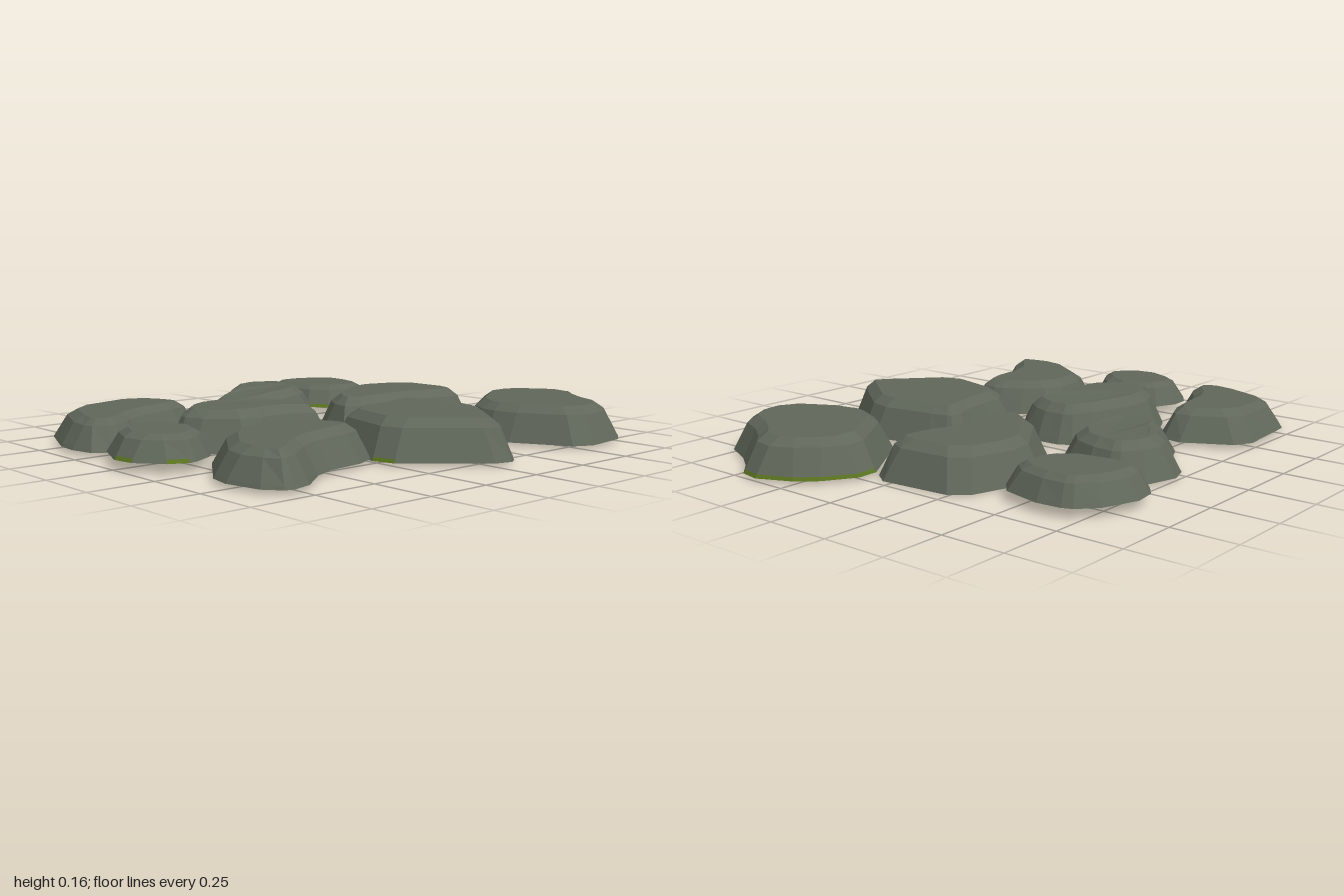
import * as THREE from 'three';

const stoneMat = new THREE.MeshStandardMaterial({ color: 0x60675a });
stoneMat.name = 'mossy grey stone';
const mossMat = new THREE.MeshStandardMaterial({ color: 0x5a7320 });
mossMat.name = 'moss green';

// Unit direction and length from corner a to corner b
function edge(a, b) {
  const dx = b[0] - a[0], dz = b[1] - a[1], len = Math.hypot(dx, dz);
  return { x: dx / len, z: dz / len, len };
}

// Shrink a footprint by a constant distance on every side
function inset(corners, d) {
  const n = corners.length;
  return corners.map((p, i) => {
    const e = edge(corners[(i + n - 1) % n], p), f = edge(p, corners[(i + 1) % n]);
    const k = d / (1 + e.x * f.x + e.z * f.z);
    return [p[0] - (e.z + f.z) * k, p[1] + (e.x + f.x) * k];
  });
}

// Replace every corner by a short blunt edge
function bluntCorners(corners) {
  const n = corners.length;
  return corners.flatMap((p, i) => [n - 1, 1].map(step => {
    const e = edge(p, corners[(i + step) % n]);
    const cut = Math.min(0.05, e.len * 0.35);
    return [p[0] + e.x * cut, p[1] + e.z * cut];
  }));
}

// Corners are [x, z], clockwise from above. Past fold[0] in z the top dips
// by the slope fold[1]. Moss lists the overgrown base segments: 2k is the
// blunt corner k, 2k + 1 the side that follows it.
function makeStone(name, base, top, corners, { fold = [0, 0], moss = [], mossHeight = 0.013 } = {}) {
  const height = top - base, shoulder = 0.79;
  const bevel = height > 0.11 ? 0.05 : 0.04;
  const dip = z => Math.max(0, (z - fold[0]) * fold[1]);
  const ring = (d, y, sink) =>
    bluntCorners(inset(corners, d)).map(([x, z]) => [x, y - sink * dip(z), z]);

  // Underside rim, base, moss line, shoulder and top rim
  const rings = [
    ring(0.035, base, 0),
    ring(0, base, 0),
    ring(bevel * mossHeight / (height * shoulder), base + mossHeight, 0),
    ring(bevel, base + height * shoulder, 0.8),
    ring(bevel * 1.75, top, 1),
  ];
  const stonePos = [], mossPos = [], n = rings[0].length;
  for (let r = 0; r < 4; r++) {
    for (let i = 0; i < n; i++) {
      const j = (i + 1) % n, lo = rings[r], hi = rings[r + 1];
      const target = r < 2 && moss.includes(i) ? mossPos : stonePos;
      target.push(...lo[i], ...hi[i], ...hi[j], ...lo[i], ...hi[j], ...lo[j]);
    }
  }

  // Caps above and below
  const cap = (pts, up) => {
    const flat = pts.map(p => new THREE.Vector2(p[0], p[2]));
    for (const [a, b, c] of THREE.ShapeUtils.triangulateShape(flat, [])) {
      const turn = flat[b].clone().sub(flat[a]).cross(flat[c].clone().sub(flat[a]));
      const order = (turn < 0) === up ? [a, b, c] : [a, c, b];
      for (const k of order) stonePos.push(...pts[k]);
    }
  };
  cap(rings[4], true);
  cap(rings[0], false);

  const geo = new THREE.BufferGeometry();
  geo.setAttribute('position', new THREE.Float32BufferAttribute([...stonePos, ...mossPos], 3));
  geo.addGroup(0, stonePos.length / 3, 0);
  if (mossPos.length) geo.addGroup(stonePos.length / 3, mossPos.length / 3, 1);
  geo.computeVertexNormals(); // unshared corners give flat facets
  const mesh = new THREE.Mesh(geo, [stoneMat, mossMat]);
  mesh.name = name;
  return mesh;
}

export function createModel() {
  const group = new THREE.Group();
  group.name = 'steppingStones';

  // Back row
  group.add(makeStone('backLeftStone', 0.01, 0.145,
    [[0.085, -0.72], [0.21, -0.92], [0.43, -1.02], [0.58, -0.88], [0.795, -0.785], [0.83, -0.5], [0.53, -0.34], [0.32, -0.37]],
    { moss: [0, 1, 2, 3, 4] }));
  group.add(makeStone('backMiddleStone', 0, 0.145,
    [[-0.39, -0.37], [-0.29, -0.69], [0.09, -0.722], [0.135, -0.57], [0.065, -0.34], [0.1, 0.01], [-0.16, -0.04]]));
  group.add(makeStone('backRightStone', 0.035, 0.125,
    [[-0.855, -0.38], [-0.77, -0.61], [-0.64, -0.665], [-0.39, -0.605], [-0.375, -0.46], [-0.45, -0.3], [-0.76, -0.25]],
    { moss: [9, 10] }));

  // Middle row
  group.add(makeStone('middleRightStone', 0.01, 0.147,
    [[-0.765, -0.02], [-0.7, -0.25], [-0.56, -0.305], [-0.325, -0.215], [-0.25, 0.19], [-0.42, 0.31], [-0.54, 0.27], [-0.63, 0.08]],
    { fold: [0.04, 0.15] }));
  group.add(makeStone('centreStone', 0.005, 0.155,
    [[-0.36, 0.41], [-0.245, 0.09], [-0.1, 0.015], [0.1, 0.085], [0.125, 0.19], [0.08, 0.315], [0.12, 0.46], [-0.08, 0.67], [-0.25, 0.63]],
    { fold: [0.25, -0.08], moss: [15, 16], mossHeight: 0.025 }));
  group.add(makeStone('middleLeftStone', 0.01, 0.155,
    [[0.08, -0.25], [0.17, -0.3], [0.51, -0.355], [0.805, -0.13], [0.85, -0.045], [0.55, 0.285], [0.15, 0.185], [0.14, -0.05]],
    { moss: [10] }));

  // Front row
  group.add(makeStone('frontRightStone', 0.015, 0.135,
    [[-0.74, 0.45], [-0.47, 0.305], [-0.37, 0.4], [-0.325, 0.655], [-0.24, 0.75], [-0.205, 0.92], [-0.4, 0.96], [-0.71, 0.83]],
    { fold: [0.5, 0.03] }));
  group.add(makeStone('frontMiddleStone', 0.035, 0.125,
    [[-0.21, 0.73], [-0.09, 0.645], [0.07, 0.615], [0.205, 0.765], [0.225, 0.875], [0.05, 1.015], [-0.2, 0.91]],
    { moss: [8, 10] }));
  group.add(makeStone('frontLeftStone', 0.015, 0.14,
    [[0.11, 0.41], [0.28, 0.26], [0.43, 0.215], [0.52, 0.3], [0.555, 0.555], [0.71, 0.75], [0.68, 0.86], [0.44, 0.905], [0.15, 0.7]],
    { fold: [0.4, 0.03] }));
  return group;
}
